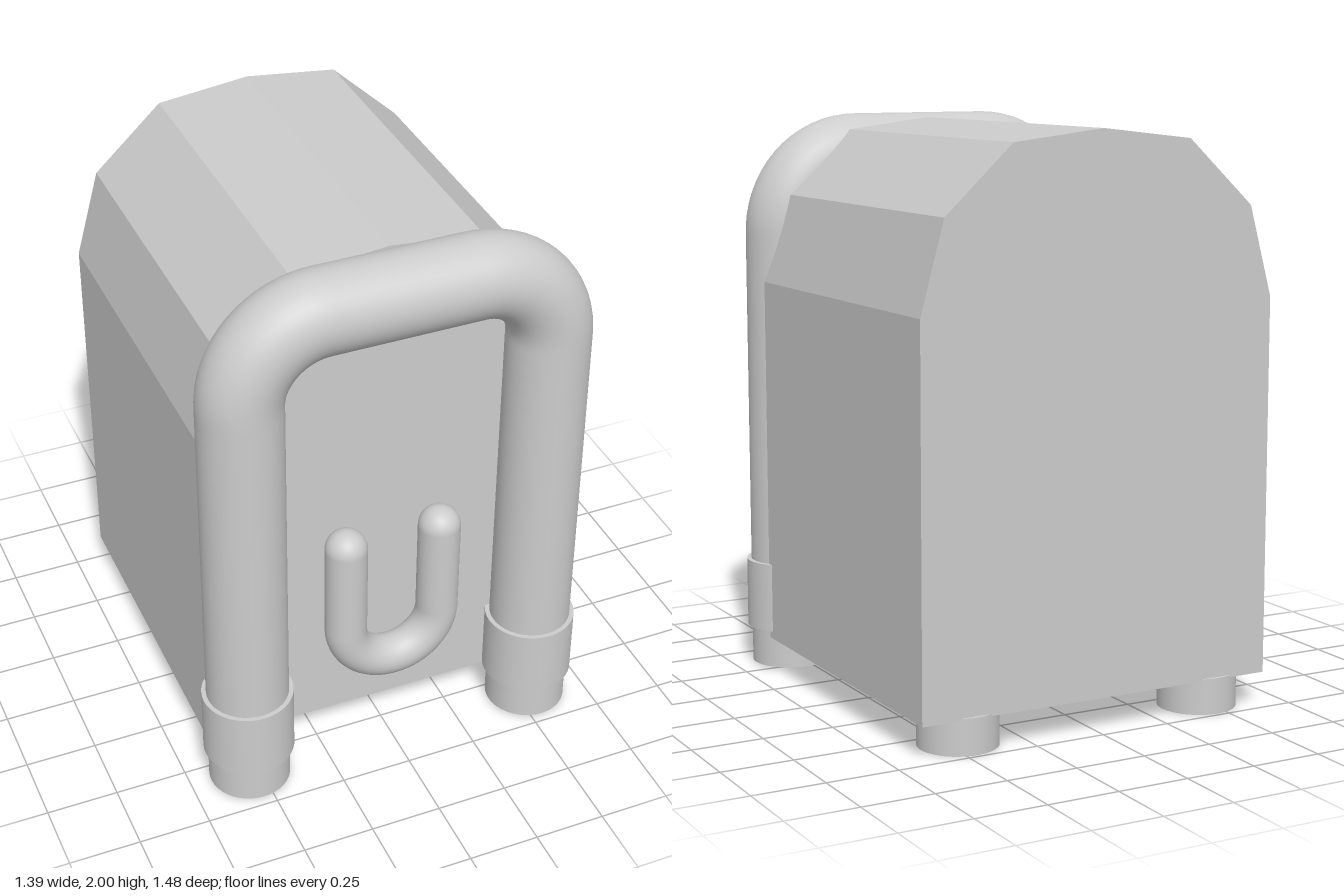
import * as THREE from 'three';

// Path through corner points, each inner corner rounded with radius r
function roundedPath(points, r) {
  const path = new THREE.CurvePath();
  const k = 0.5523;
  let from = points[0];
  for (let i = 1; i < points.length - 1; i++) {
    const p = points[i];
    const back = points[i - 1].clone().sub(p).normalize();
    const ahead = points[i + 1].clone().sub(p).normalize();
    const a = p.clone().addScaledVector(back, r);
    const b = p.clone().addScaledVector(ahead, r);
    if (from.distanceTo(a) > 1e-4) path.add(new THREE.LineCurve3(from, a));
    path.add(new THREE.CubicBezierCurve3(
      a, p.clone().addScaledVector(back, r * (1 - k)),
      p.clone().addScaledVector(ahead, r * (1 - k)), b));
    from = b;
  }
  path.add(new THREE.LineCurve3(from, points[points.length - 1]));
  return path;
}

export function createModel() {
  const model = new THREE.Group();
  model.name = 'archedBox';
  const grey = new THREE.MeshStandardMaterial({ color: 0xcccccc });
  grey.name = 'lightGrey';

  const add = (name, geometry, x = 0, y = 0, z = 0) => {
    const mesh = new THREE.Mesh(geometry, grey);
    mesh.name = name;
    mesh.position.set(x, y, z);
    model.add(mesh);
    return mesh;
  };
  const v = (x, y, z) => new THREE.Vector3(x, y, z);

  // Box body with a faceted arched roof
  const roof = [[0.655, 1.415], [0.57, 1.723], [0.328, 1.947], [0, 1.985]];
  const profile = [[0.655, 0.117], ...roof];
  const mirrored = profile.slice(0, -1).reverse().map(([x, y]) => [-x, y]);
  const shape = new THREE.Shape([...profile, ...mirrored].map(([x, y]) => new THREE.Vector2(x, y)));
  add('body', new THREE.ExtrudeGeometry(shape, { depth: 1.225, bevelEnabled: false }), 0, 0, -0.725);

  // Large pipe arch around the front, its ends serving as front feet
  const legX = 0.537, pipeZ = 0.58, pipeR = 0.142, top = 1.858;
  const arch = roundedPath([
    v(-legX, 0.008, pipeZ), v(-legX, top, pipeZ), v(legX, top, pipeZ), v(legX, 0.008, pipeZ)
  ], 0.277);
  add('frontArch', new THREE.TubeGeometry(arch, 160, pipeR, 40));

  // Thin U-shaped handle on the front, with round ends
  const gripX = 0.171, gripZ = 0.574, gripR = 0.073, gripTop = 0.885, gripBottom = 0.368;
  const grip = roundedPath([
    v(-gripX, gripTop, gripZ), v(-gripX, gripBottom, gripZ),
    v(gripX, gripBottom, gripZ), v(gripX, gripTop, gripZ)
  ], gripX - 0.0001);
  add('handle', new THREE.TubeGeometry(grip, 100, gripR, 28));

  for (const [side, s] of [['left', 1], ['right', -1]]) {
    // Closed underside of the pipe
    add(side + 'ArchEnd', new THREE.CircleGeometry(pipeR, 40), s * legX, 0.008, pipeZ).rotation.x = Math.PI / 2;
    // Sleeve around the pipe
    add(side + 'Sleeve', new THREE.CylinderGeometry(0.158, 0.158, 0.247, 40), s * legX, 0.267, pipeZ);
    // Rear foot
    add(side + 'RearFoot', new THREE.CylinderGeometry(0.136, 0.136, 0.125, 40), s * 0.464, 0.0625, -0.602);
    // Round handle tip
    add(side + 'HandleTip',
      new THREE.SphereGeometry(gripR, 28, 12, 0, Math.PI * 2, 0, Math.PI / 2), s * gripX, gripTop, gripZ);
  }
  return model;
}
